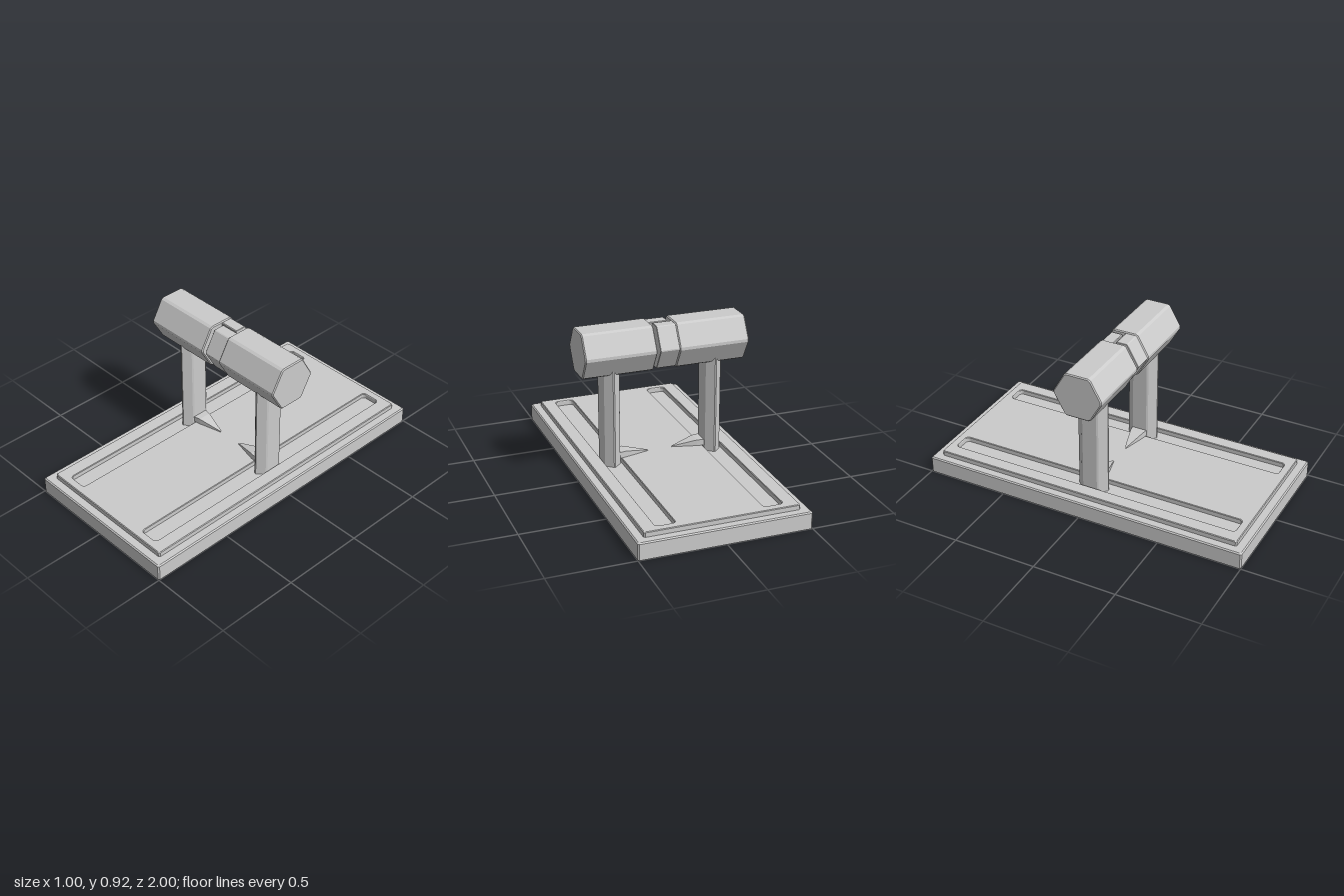
import * as THREE from 'three';

const material = new THREE.MeshStandardMaterial({ color: 0xcccccc, flatShading: true, side: THREE.DoubleSide });

function addMesh(parent, name, geometry) {
  const mesh = new THREE.Mesh(geometry, material);
  mesh.name = name;
  parent.add(mesh);
  return mesh;
}

// Skins a list of rings of [x, y, z] points
function loft(rings) {
  const pos = [];
  const n = rings[0].length;
  for (let r = 0; r < rings.length - 1; r++) {
    const a = rings[r], b = rings[r + 1];
    for (let i = 0; i < n; i++) {
      const j = (i + 1) % n;
      pos.push(...a[i], ...b[i], ...a[j], ...b[i], ...b[j], ...a[j]);
    }
  }
  const geometry = new THREE.BufferGeometry();
  geometry.setAttribute('position', new THREE.Float32BufferAttribute(pos, 3));
  geometry.computeVertexNormals();
  return geometry;
}

// Cuts every corner of a 2D polygon at distance c
function chamfer(points, c) {
  const out = [];
  points.forEach((p, i) => {
    for (const k of [points.length - 1, 1]) {
      const q = points[(i + k) % points.length];
      const t = c / Math.hypot(q[0] - p[0], q[1] - p[1]);
      out.push([p[0] + (q[0] - p[0]) * t, p[1] + (q[1] - p[1]) * t]);
    }
  });
  return out;
}

const rect = (hx, hz, c, cx = 0) =>
  chamfer([[cx + hx, -hz], [cx + hx, hz], [cx - hx, hz], [cx - hx, -hz]], c);
const atHeight = (points, y) => points.map(([x, z]) => [x, y, z]);
const toPath = (points, Type) => new Type(points.map(([x, y]) => new THREE.Vector2(x, y)));
const flatPlate = (shape, y) => new THREE.ShapeGeometry(shape).rotateX(-Math.PI / 2).translate(0, y, 0);

// Bevelled prism along x from x0 to x1, with its profile given as [-z, y]
function barPrism(profile, x0, x1, bevel) {
  return new THREE.ExtrudeGeometry(toPath(profile, THREE.Shape), {
    depth: x1 - x0 - 2 * bevel, bevelSize: bevel, bevelThickness: bevel,
    bevelOffset: -bevel, bevelSegments: 1,
  }).translate(0, 0, x0 + bevel).rotateY(Math.PI / 2);
}

function hexagon(r) {
  return Array.from({ length: 6 }, (_, i) =>
    [r * Math.cos(i * Math.PI / 3), r * Math.sin(i * Math.PI / 3)]);
}

const slotX = 0.31, deckY = 0.13, barY = 0.791;
const slotOutline = (side, inset) =>
  chamfer(rect(0.06 - inset, 0.905 - inset, 0.014, side * slotX), 0.005);

// Hollow stepped base, open underneath
function makeBase() {
  const base = new THREE.Group();
  base.name = 'base';
  const levels = [
    [0.5, 1, 0], [0.5, 1, 0.093], [0.493, 0.993, 0.1],
    [0.449, 0.949, 0.1], [0.449, 0.949, 0.126], [0.445, 0.945, deckY],
  ];
  addMesh(base, 'steppedRim', loft(levels.map(([x, z, y]) => atHeight(rect(x, z, 0.008), y))));

  // Deck with two long slots
  const deck = toPath(rect(0.445, 0.945, 0.008), THREE.Shape);
  for (const side of [-1, 1]) deck.holes.push(toPath(slotOutline(side, 0), THREE.Path));
  addMesh(base, 'deck', flatPlate(deck, deckY));

  // Shallow slot floors, with walls that run on below them
  for (const side of [-1, 1]) {
    const lip = slotOutline(side, 0), inner = slotOutline(side, 0.003);
    addMesh(base, 'slotWall', loft([
      atHeight(lip, deckY), atHeight(inner, deckY - 0.004), atHeight(inner, 0.058),
    ]));
    addMesh(base, 'slotFloor', flatPlate(toPath(inner, THREE.Shape), 0.1));
  }
  return base;
}

// One side: post, fin and half of the bar, built at -x
function makeSide() {
  const side = new THREE.Group();

  // Long hexagonal post, ridges to the front and back
  const outline = chamfer(
    [[0, -0.098], [0.05, -0.05], [0.05, 0.05], [0, 0.098], [-0.05, 0.05], [-0.05, -0.05]], 0.006);
  const post = new THREE.ExtrudeGeometry(toPath(outline, THREE.Shape), { depth: 0.63, bevelEnabled: false });
  addMesh(side, 'post', post.rotateX(-Math.PI / 2).translate(-slotX, 0.08, 0));

  // Thin collar where the post meets the bar
  addMesh(side, 'postCollar', new THREE.BoxGeometry(0.116, 0.012, 0.1).translate(-slotX, 0.662, 0));

  // Tapered fin at the foot, pointing inward
  const section = (x, top, w) => [[x, top, w], [x, top, -w], [x, deckY, -w], [x, deckY, w]];
  addMesh(side, 'footFin', loft([
    section(-0.28, 0.166, 0.05), section(-0.22, 0.166, 0.04), section(-0.075, 0.135, 0.003),
  ]));

  // Hexagonal bar half
  const body = addMesh(side, 'barHalf', barPrism(chamfer(hexagon(0.153), 0.01), -0.49, -0.067, 0.006));
  body.position.y = barY;

  // Half-hexagon tab that interlocks with the opposite half
  const r = 0.145, h = r * Math.sin(Math.PI / 3);
  const tabProfile = chamfer([[0.004, -h], [r / 2, -h], [r, 0], [r / 2, h], [0.004, h]], 0.004);
  const tab = addMesh(side, 'interlockingTab', barPrism(tabProfile, -0.09, 0.047, 0.002));
  tab.position.y = barY;
  return side;
}

export function createModel() {
  const model = new THREE.Group();
  model.name = 'pushUpStand';
  model.add(makeBase());

  // The two sides are the same part turned half a circle
  const right = makeSide();
  right.name = 'rightSide';
  const left = makeSide();
  left.name = 'leftSide';
  left.rotation.y = Math.PI;
  model.add(right, left);
  return model;
}
